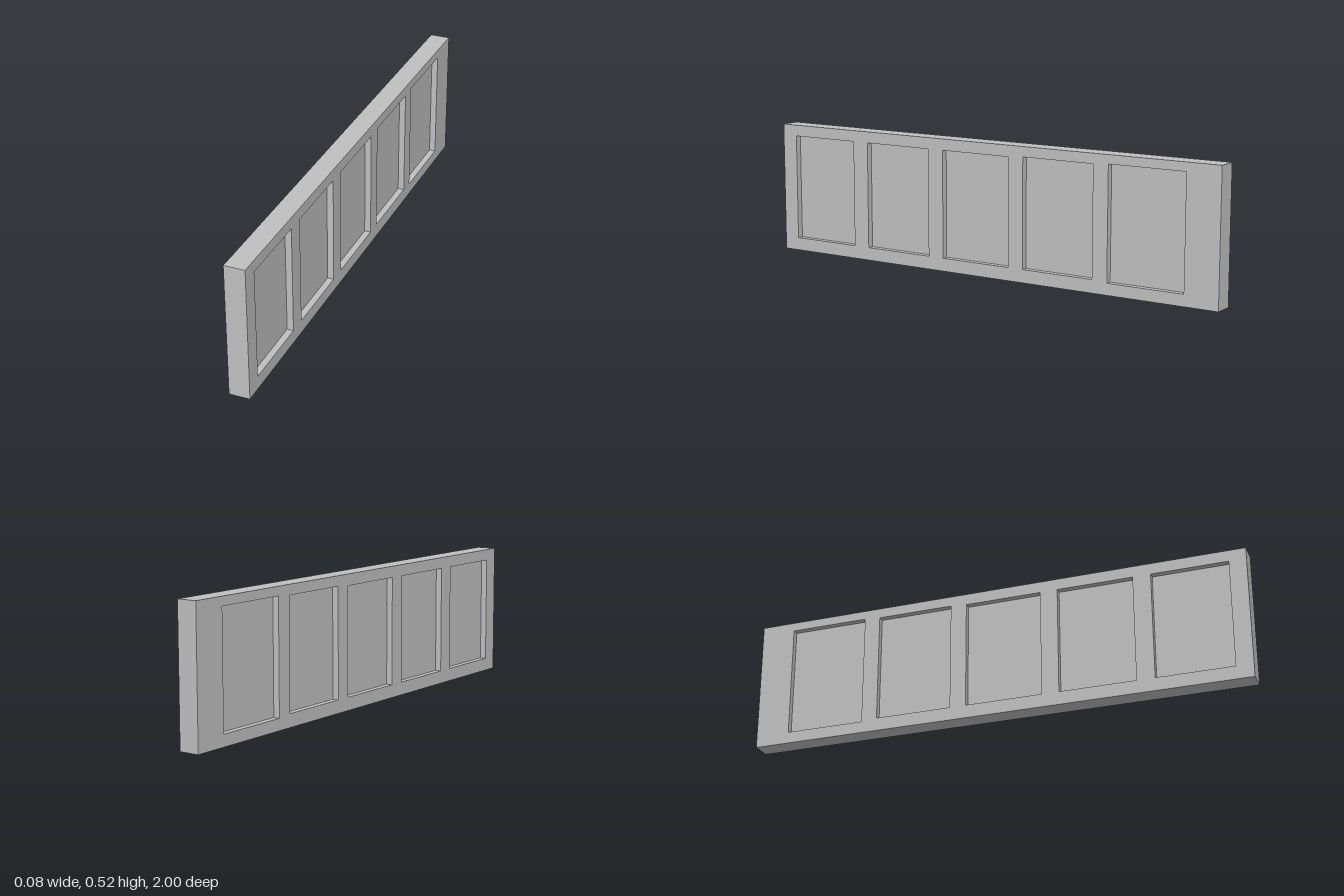
import * as THREE from 'three';

const HEIGHT = 0.525, THICKNESS = 0.08, RECESS = 0.025;

// Recessed panels: z at both sides, y at bottom and top
const PANELS = [
  [0.633, 0.933, 0.052, 0.48],
  [0.262, 0.562, 0.052, 0.48],
  [-0.112, 0.193, 0.052, 0.48],
  [-0.482, -0.177, 0.052, 0.485],
  [-0.862, -0.546, 0.046, 0.49],
];

function rectangle(path, z0, z1, y0, y1) {
  path.moveTo(-z1, y0);
  path.lineTo(-z0, y0);
  path.lineTo(-z0, y1);
  path.lineTo(-z1, y1);
  path.closePath();
  return path;
}

export function createModel() {
  const group = new THREE.Group();
  const grey = new THREE.MeshStandardMaterial({ color: 0xc0c0c0 });
  grey.name = 'light grey';

  // Wall frame with five openings, extruded through its thickness along x
  const shape = rectangle(new THREE.Shape(), -1, 1, 0, HEIGHT);
  shape.holes = PANELS.map((p) => rectangle(new THREE.Path(), ...p));
  const frameGeometry = new THREE.ExtrudeGeometry(shape, { depth: THICKNESS, bevelEnabled: false });
  frameGeometry.translate(0, 0, -THICKNESS / 2).rotateY(Math.PI / 2);
  const frame = new THREE.Mesh(frameGeometry, grey);
  frame.name = 'wallFrame';
  group.add(frame);

  // Thinner panels set into the openings, recessed on both faces
  PANELS.forEach(([z0, z1, y0, y1], i) => {
    const panel = new THREE.Mesh(
      new THREE.BoxGeometry(THICKNESS - 2 * RECESS, y1 - y0, z1 - z0), grey);
    panel.position.set(0, (y0 + y1) / 2, (z0 + z1) / 2);
    panel.name = `recessedPanel${i + 1}`;
    group.add(panel);
  });

  return group;
}
